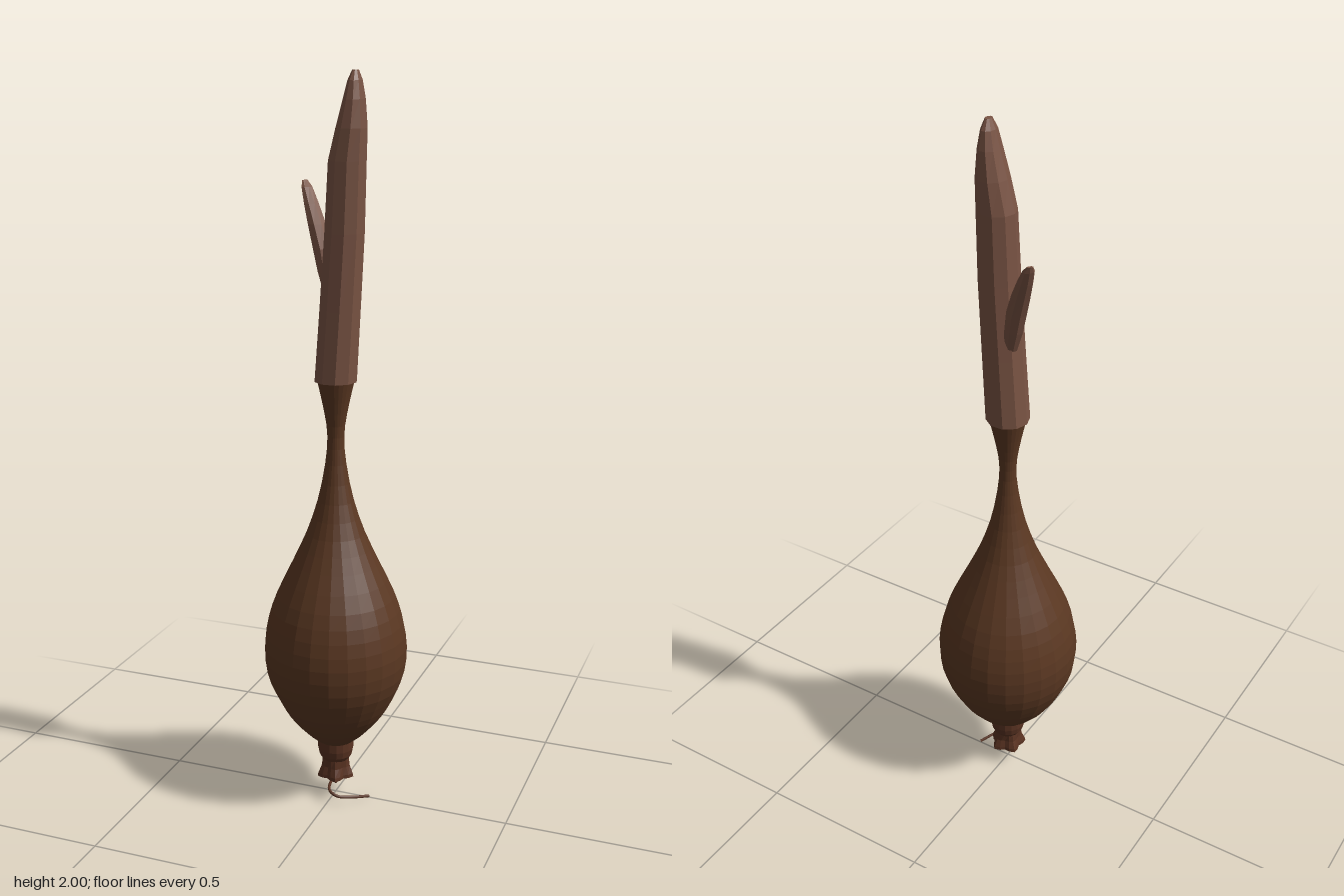
import * as THREE from 'three';

const mat = (name, color) => Object.assign(new THREE.MeshStandardMaterial({ color }), { name });

// Skin elliptical rings [x, y, z, radiusX, radiusZ, ruffle] from bottom to top, faceted
function loft(name, rings, sides, material, lobes = 0) {
  const pos = [], idx = [];
  for (const [x, y, z, rx, rz, ruffle = 0] of rings) {
    for (let j = 0; j < sides; j++) {
      const a = (j / sides) * Math.PI * 2;
      const k = 1 + ruffle * Math.cos(a * lobes);
      pos.push(x + Math.cos(a) * rx * k, y, z + Math.sin(a) * rz * k);
    }
  }
  const last = rings.length - 1;
  for (let i = 0; i < last; i++) {
    for (let j = 0; j < sides; j++) {
      const n = (j + 1) % sides;
      const a = i * sides + j, b = i * sides + n, c = a + sides, d = b + sides;
      idx.push(a, c, b, b, c, d);
    }
  }
  // end caps
  const centre = pos.length / 3;
  pos.push(...rings[0].slice(0, 3), ...rings[last].slice(0, 3));
  for (let j = 0; j < sides; j++) {
    const n = (j + 1) % sides;
    idx.push(centre, j, n, centre + 1, last * sides + n, last * sides + j);
  }
  const g = new THREE.BufferGeometry();
  g.setAttribute('position', new THREE.Float32BufferAttribute(pos, 3));
  g.setIndex(idx);
  const flat = g.toNonIndexed();
  flat.computeVertexNormals();
  const mesh = new THREE.Mesh(flat, material);
  mesh.name = name;
  return mesh;
}

export function createModel() {
  const model = new THREE.Group();
  model.name = 'bulbWithStem';
  const bark = mat('dark brown', 0x5b3822);
  const wood = mat('light brown', 0x7a5444);
  const root = mat('reddish brown', 0x5a3322);

  // Pear-shaped bulb with a thin neck flaring into the stem
  const profile = new THREE.SplineCurve([
    [0.05, 0.17], [0.085, 0.2], [0.128, 0.25], [0.158, 0.3], [0.188, 0.37], [0.198, 0.45],
    [0.188, 0.53], [0.162, 0.61], [0.115, 0.71], [0.075, 0.8], [0.044, 0.9],
    [0.025, 1.01], [0.024, 1.08], [0.036, 1.15], [0.05, 1.212],
  ].map(([r, y]) => new THREE.Vector2(r, y))).getPoints(30);
  model.add(loft('bulb', profile.map((p) => [0, p.y, 0, p.x, p.x]), 24, bark));

  // Leaning stem with a slanted, cut tip
  model.add(loft('stem', [
    [0, 1.21, 0, 0.058, 0.058],
    [0.012, 1.4, 0, 0.056, 0.055],
    [0.024, 1.6, 0, 0.054, 0.053],
    [0.031, 1.78, 0, 0.051, 0.05],
    [0.042, 1.86, 0, 0.041, 0.046],
    [0.049, 1.93, 0, 0.028, 0.037],
    [0.051, 1.975, 0, 0.018, 0.027],
    [0.052, 2.0, 0, 0.008, 0.012],
  ], 10, wood));

  // Side shoot, built pointing along +x and turned to the back right
  const shoot = loft('sideShoot', [
    [0.025, 1.42, 0, 0.015, 0.016],
    [0.05, 1.49, 0, 0.025, 0.025],
    [0.072, 1.55, 0, 0.03, 0.027],
    [0.106, 1.61, 0, 0.026, 0.025],
    [0.137, 1.66, 0, 0.02, 0.021],
    [0.162, 1.7, 0, 0.012, 0.016],
    [0.174, 1.717, 0, 0.004, 0.008],
  ], 8, wood);
  shoot.rotation.y = 2.42;
  model.add(shoot);

  // Collar below the bulb
  model.add(loft('collar', [
    [0, 0.11, 0, 0.036, 0.036],
    [0, 0.125, 0, 0.046, 0.046],
    [0, 0.145, 0, 0.05, 0.05],
    [0, 0.178, 0, 0.05, 0.05],
  ], 16, root));

  // Ruffled root crown, flaring downwards
  model.add(loft('rootCrown', [
    [0, 0.075, 0, 0.012, 0.012],
    [0, 0.058, 0, 0.046, 0.046, 0.16],
    [0, 0.068, 0, 0.045, 0.045, 0.14],
    [0, 0.09, 0, 0.038, 0.038, 0.1],
    [0, 0.118, 0, 0.037, 0.037],
  ], 20, root, 5));

  // Root nub in the middle of the crown
  model.add(loft('rootNub', [
    [0, 0.028, 0, 0.003, 0.003],
    [0, 0.045, 0, 0.012, 0.012],
    [0, 0.08, 0, 0.018, 0.018],
  ], 8, root));

  // Curling root hair
  const path = new THREE.CatmullRomCurve3([
    [0, 0.05, 0], [-0.003, 0.047, 0.03], [0.004, 0.038, 0.062],
    [0.03, 0.029, 0.072], [0.065, 0.021, 0.05], [0.1, 0.005, 0],
  ].map((p) => new THREE.Vector3(...p)));
  const hair = new THREE.Mesh(new THREE.TubeGeometry(path, 24, 0.004, 6), root);
  hair.name = 'rootHair';
  model.add(hair);

  return model;
}
